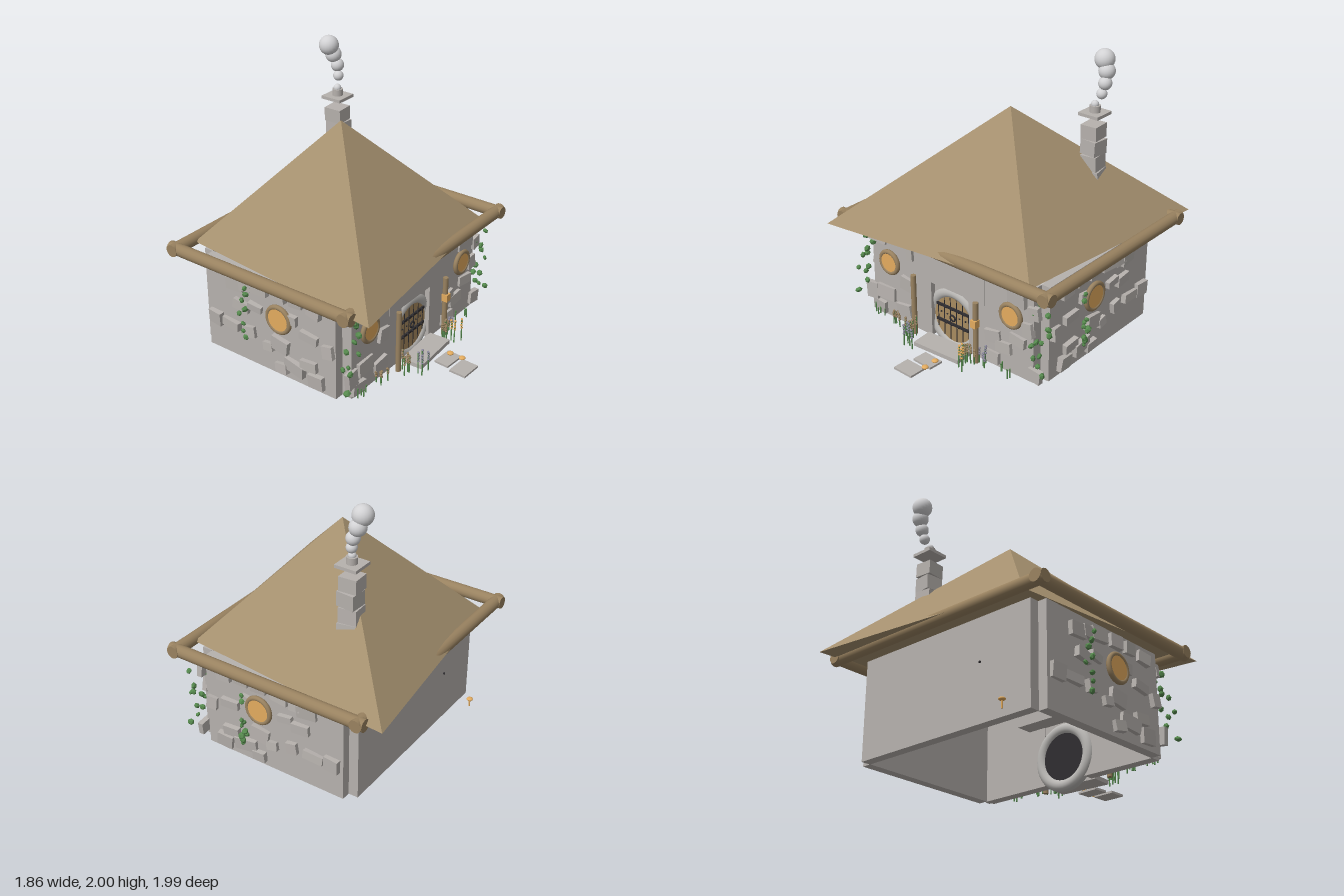
import * as THREE from 'three';

const mat = (name, color, flatShading = false) => {
  const m = new THREE.MeshStandardMaterial({ color, flatShading });
  m.name = name;
  return m;
};

export function createModel() {
  const root = new THREE.Group();
  root.name = 'cottage';
  const M = {
    stone: mat('wallStone', 0xb6b1ad),
    rim: mat('paleStone', 0xb9b7b4),
    roof: mat('thatch', 0xa48f6e),
    log: mat('logWood', 0x998260),
    door: mat('doorWood', 0xa88b60),
    iron: mat('iron', 0x2f2d30),
    amber: mat('amber', 0xe3ab5e),
    leaf: mat('leafGreen', 0x568a4e, true),
    flower: mat('lavender', 0x8f8c9f),
    smoke: mat('smoke', 0xd2d2d4),
  };
  let seed = 7;
  const rnd = () => (seed = (seed * 16807) % 2147483647) / 2147483647;

  const add = (name, geo, m, x = 0, y = 0, z = 0, parent = root) => {
    const o = new THREE.Mesh(geo, m);
    o.name = name;
    o.position.set(x, y, z);
    parent.add(o);
    return o;
  };
  const box = (name, m, w, h, d, x, y, z, parent) =>
    add(name, new THREE.BoxGeometry(w, h, d), m, x, y, z, parent);
  const cyl = (name, m, r, h, x, y, z, parent, sides = 16) =>
    add(name, new THREE.CylinderGeometry(r, r, h, sides), m, x, y, z, parent);
  const ball = (name, m, r, x, y, z, parent) =>
    add(name, new THREE.SphereGeometry(r, 20, 14), m, x, y, z, parent);
  const group = (name, parent = root) => {
    const g = new THREE.Group();
    g.name = name;
    parent.add(g);
    return g;
  };

  // Hollow walls that meet in notched corners
  const walls = group('walls');
  box('backWall', M.stone, 1.44, 0.7, 0.07, 0, 0.42, -0.685, walls);
  ball('wallPeg', M.iron, 0.008, -0.33, 0.46, -0.738, walls);
  for (const s of [-1, 1]) {
    box('sideWall', M.stone, 0.07, 0.7, 1.1, s * 0.75, 0.42, -0.1, walls);
    box('frontWall', M.stone, 0.55, 0.7, 0.075, s * 0.445, 0.42, 0.49, walls);
  }
  box('lintel', M.stone, 0.62, 0.27, 0.205, 0, 0.628, 0.43, walls);

  // Recessed panel with a round hole for the door
  const panel = new THREE.Shape();
  panel.moveTo(-0.18, 0.09).absarc(0, 0.242, 0.21, Math.PI * 1.25, -Math.PI * 0.25, true);
  panel.lineTo(0.18, 0.09).lineTo(0.18, 0.5).lineTo(-0.18, 0.5);
  add('doorPanel', new THREE.ExtrudeGeometry(panel, { depth: 0.03, bevelEnabled: false }), M.stone, 0, 0, 0.46, walls);

  // Skewed four-sided roof
  const roofGeo = new THREE.ConeGeometry(1, 0.82, 4);
  roofGeo.applyMatrix4(new THREE.Matrix4().set(
    0.89, 0, 0.73, 0,
    0, 1, 0, 1.21,
    -0.89, 0, 0.693, -0.105,
    0, 0, 0, 1));
  const roofFlat = roofGeo.toNonIndexed();
  roofFlat.computeVertexNormals();
  add('roof', roofFlat, M.roof);

  // Logs under the eaves
  const logs = group('eaveLogs');
  for (const z of [0.612, -0.825]) cyl('crossLog', M.log, 0.044, 1.86, 0, 0.803, z, logs).rotation.z = Math.PI / 2;
  for (const x of [-0.885, 0.885]) cyl('sideLog', M.log, 0.044, 1.53, x, 0.803, -0.107, logs).rotation.x = Math.PI / 2;

  // Chimney of slightly twisted blocks
  const chimney = group('chimney');
  [[1.445, 0.1, 0.424, 0.03], [1.338, 0.106, 0.432, -0.04], [1.222, 0.11, 0.427, 0.05], [1.14, 0.06, 0.44, 0.1]]
    .forEach(([y, h, x, turn], i) => {
      const b = box('chimneyBlock', M.stone, 0.125, h, 0.13, x, y, -0.465 + (i % 2) * 0.006, chimney);
      b.rotation.set(turn * 0.4, turn * 1.6, turn * 0.6);
    });
  box('chimneyCap', M.stone, 0.16, 0.022, 0.16, 0.428, 1.57, -0.465, chimney);
  cyl('chimneyPot', M.stone, 0.038, 0.05, 0.43, 1.603, -0.465, chimney);
  [[0.428, 1.635, -0.465, 0.027], [0.465, 1.71, -0.485, 0.037], [0.477, 1.782, -0.502, 0.047],
    [0.468, 1.857, -0.53, 0.058], [0.437, 1.93, -0.545, 0.07]]
    .forEach(([x, y, z, r]) => ball('smokePuff', M.smoke, r, x, y, z, chimney));

  // Round windows; each faces +z before it is turned
  const porthole = (x, y, z, turn, r) => {
    const g = group('window');
    g.position.set(x, y, z);
    g.rotation.y = turn;
    add('windowFrame', new THREE.TorusGeometry(r - 0.016, 0.017, 12, 36), M.log, 0, 0, 0.01, g);
    cyl('windowPane', M.amber, r - 0.022, 0.02, 0, 0, 0.012, g, 36).rotation.x = Math.PI / 2;
  };
  for (const s of [-1, 1]) {
    porthole(s * 0.545, 0.518, 0.535, 0, 0.095);
    porthole(s * 0.8, 0.518, 0, s * Math.PI / 2, 0.107);
  }

  // Round door in a stone ring
  const door = group('door');
  door.position.set(0, 0.242, 0.465);
  add('doorRing', new THREE.TorusGeometry(0.2, 0.042, 14, 48), M.rim, 0, 0, 0, door);
  cyl('doorBack', M.iron, 0.172, 0.02, 0, 0, -0.012, door, 40).rotation.x = Math.PI / 2;
  cyl('doorLeaf', M.door, 0.17, 0.03, 0, 0, 0.012, door, 40).rotation.x = Math.PI / 2;
  for (let i = -2.5; i <= 2.5; i++) {
    const x = i * 0.055;
    box('plankGap', M.iron, 0.006, 2 * Math.sqrt(0.166 ** 2 - x * x), 0.004, x, 0, 0.028, door);
  }
  for (const y of [0.088, -0.032]) {
    box('ironBand', M.iron, 0.29, 0.018, 0.012, 0, y, 0.034, door);
    for (let i = -2; i <= 2; i++) ball('stud', M.iron, 0.009, i * 0.055, y, 0.04, door);
  }
  for (let i = -2; i <= 2; i++) if (i) ball('stud', M.iron, 0.006, i * 0.055, 0.03, 0.03, door);
  add('doorKnocker', new THREE.TorusGeometry(0.022, 0.006, 8, 20), M.iron, 0, 0.018, 0.038, door);

  // Posts, lantern and path
  for (const s of [-1, 1]) cyl('porchPost', M.log, 0.019, 0.46, s * 0.28, 0.3, 0.585);
  box('lantern', M.amber, 0.044, 0.055, 0.044, 0.28, 0.375, 0.592);
  box('doorStep', M.stone, 0.38, 0.03, 0.16, 0.01, 0.085, 0.615).rotation.y = 0.06;
  for (const [x, z, w, d, turn] of [[0.028, 0.785, 0.16, 0.11, -0.06], [-0.003, 0.93, 0.16, 0.125, -0.03]])
    box('pathStone', M.stone, w, 0.015, d, x, 0.075, z).rotation.y = turn;

  // Facing stones: [along, height, width, tall]
  const frontStones = [
    [-0.66, 0.69, 0.16, 0.09], [-0.59, 0.26, 0.16, 0.1], [-0.73, 0.23, 0.1, 0.12], [-0.35, 0.65, 0.05, 0.1],
    [-0.66, 0.13, 0.12, 0.09], [-0.39, 0.4, 0.1, 0.1], [-0.42, 0.18, 0.13, 0.09], [0.59, 0.66, 0.15, 0.1],
    [0.56, 0.73, 0.12, 0.06], [0.39, 0.3, 0.12, 0.09], [0.48, 0.25, 0.13, 0.08], [0.6, 0.35, 0.13, 0.07],
    [0.68, 0.46, 0.08, 0.1], [0.73, 0.6, 0.08, 0.09], [0.38, 0.14, 0.13, 0.08], [0.74, 0.14, 0.1, 0.09]];
  const sideStones = [
    [0.29, 0.68, 0.11, 0.08], [0.14, 0.7, 0.1, 0.08], [0, 0.7, 0.11, 0.09], [-0.17, 0.69, 0.14, 0.09],
    [-0.38, 0.65, 0.14, 0.09], [-0.29, 0.67, 0.09, 0.08], [0.245, 0.47, 0.14, 0.06], [0.1, 0.55, 0.09, 0.07],
    [0, 0.32, 0.14, 0.1], [0.24, 0.25, 0.13, 0.07], [0.3, 0.15, 0.12, 0.1], [0.12, 0.19, 0.17, 0.09],
    [-0.1, 0.27, 0.08, 0.06], [-0.26, 0.32, 0.08, 0.08], [-0.43, 0.32, 0.15, 0.06], [-0.57, 0.32, 0.11, 0.1],
    [-0.21, 0.53, 0.11, 0.05], [-0.33, 0.5, 0.13, 0.07], [0.01, 0.14, 0.1, 0.07], [0.4, 0.42, 0.08, 0.09]];
  const stones = group('facingStones');
  for (const [x, y, w, h] of frontStones)
    box('frontStone', M.stone, w, h, 0.04, x, y, 0.532, stones)
      .rotation.set((rnd() - 0.5) * 0.2, (rnd() - 0.5) * 0.25, (rnd() - 0.5) * 0.35);
  for (const s of [-1, 1])
    for (const [z, y, w, h] of sideStones)
      box('sideStone', M.stone, 0.05, h, w, s * 0.793, y, z, stones)
        .rotation.set((rnd() - 0.5) * 0.35, (rnd() - 0.5) * 0.25, (rnd() - 0.5) * 0.2);

  // Ivy: clumps of leaves climbing a line
  const ivy = group('ivy');
  const vine = (x, z, y0, y1, n, dx, dz) => {
    for (let i = 0; i < n; i++) {
      const leaf = add('ivyLeaf', new THREE.IcosahedronGeometry(0.018 + rnd() * 0.01, 0), M.leaf,
        x + (rnd() - 0.5) * dx, y0 + (y1 - y0) * (i + 0.5) / n, z + (rnd() - 0.5) * dz, ivy);
      leaf.rotation.set(rnd() * 3, rnd() * 3, 0);
      leaf.scale.z = 0.7;
    }
  };
  vine(0.78, 0.555, 0.18, 0.7, 13, 0.14, 0.06);
  vine(-0.78, 0.555, 0.18, 0.7, 11, 0.17, 0.06);
  vine(0.83, 0.11, 0.2, 0.42, 8, 0.02, 0.06);
  vine(0.83, 0.12, 0.52, 0.62, 2, 0.02, 0.03);
  vine(-0.83, -0.3, 0.25, 0.7, 8, 0.02, 0.08);

  // Flower stalks along the front
  const garden = group('garden');
  const plant = (x, z, h, m) => {
    cyl('stalk', M.leaf, 0.005, h, x, 0.07 + h / 2, z, garden, 6).rotation.z = (rnd() - 0.5) * 0.15;
    if (m) for (let i = 0; i < 4; i++)
      add('blossom', new THREE.IcosahedronGeometry(0.01, 0), m, x + (rnd() - 0.5) * 0.012, 0.07 + h * (0.6 + i * 0.13), z, garden);
  };
  for (const [cx, cz, n, h, m] of [
    [-0.65, 0.57, 4, 0.07, null], [-0.43, 0.57, 5, 0.1, M.log], [-0.28, 0.63, 5, 0.14, M.log],
    [-0.2, 0.74, 4, 0.18, M.flower], [0.24, 0.64, 6, 0.15, M.log], [0.26, 0.7, 3, 0.17, M.amber],
    [0.34, 0.58, 4, 0.13, M.flower], [0.52, 0.57, 4, 0.08, null]])
    for (let i = 0; i < n; i++)
      plant(cx + (rnd() - 0.5) * 0.1, cz + (rnd() - 0.5) * 0.06, h * (0.7 + rnd() * 0.4), m);

  // Mushrooms
  for (const [x, z, h] of [[0.08, 0.77, 0.02], [0.08, 0.865, 0.02], [-0.59, -0.82, 0.058]]) {
    cyl('mushroomStem', M.amber, 0.006, h, x, 0.07 + h / 2, z, garden, 8);
    ball('mushroomCap', M.amber, 0.023, x, 0.07 + h, z, garden).scale.y = 0.5;
  }
  return root;
}
